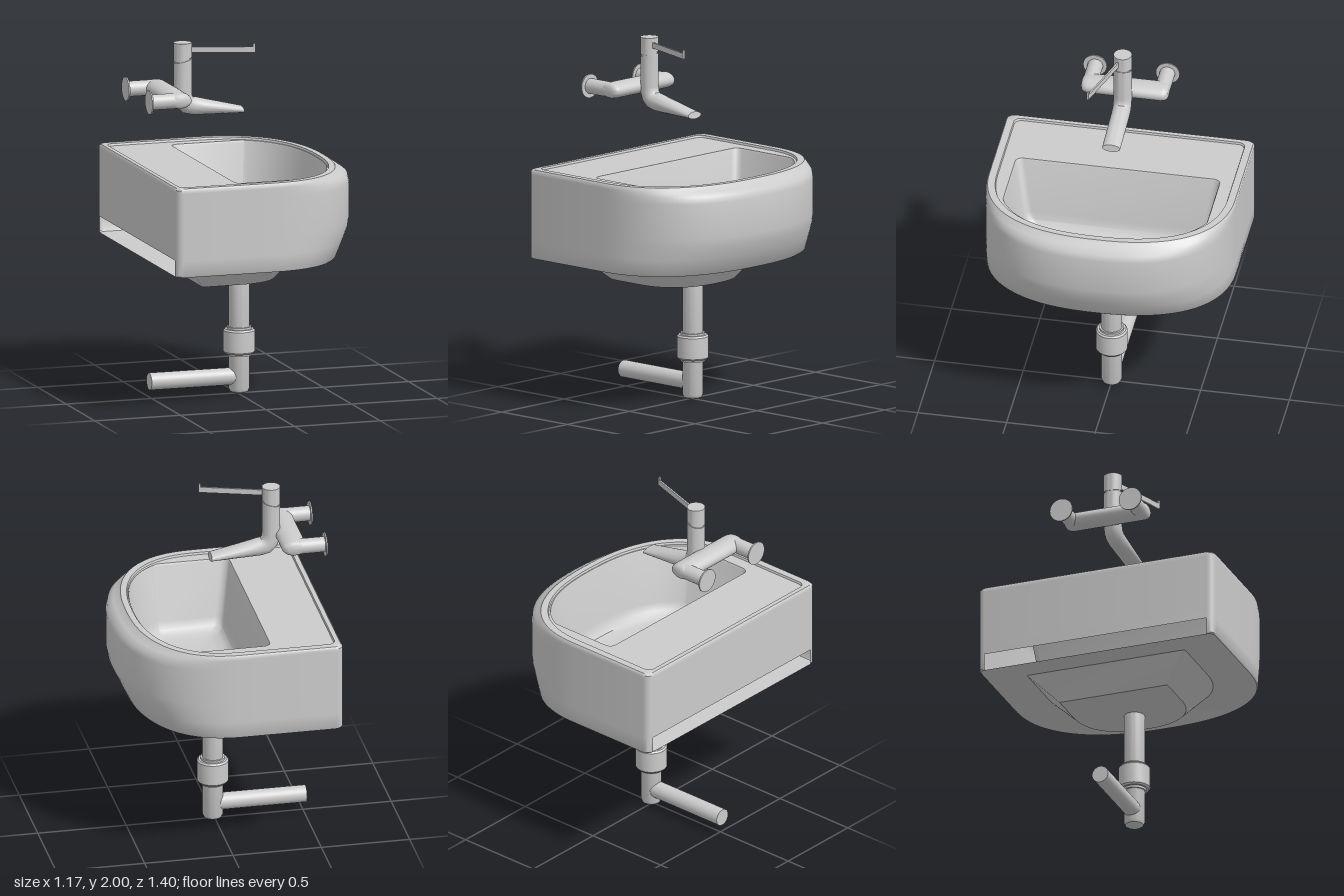
import * as THREE from 'three';
import { toCreasedNormals } from 'three/addons/utils/BufferGeometryUtils.js';

const material = new THREE.MeshStandardMaterial({ color: 0xcccccc });
const shellMaterial = new THREE.MeshStandardMaterial({ color: 0xcccccc, side: THREE.DoubleSide });

function add(parent, name, geometry, x = 0, y = 0, z = 0, mat = material) {
  const mesh = new THREE.Mesh(geometry, mat);
  mesh.name = name;
  mesh.position.set(x, y, z);
  parent.add(mesh);
  return mesh;
}

// D-shaped ring at height y: straight back with rounded corners, full superelliptical front
function dRing(y, back, front, half, { r = 0.04, zMax = half, cx = -0.03 } = {}) {
  const power = 2.4;
  const side = [];
  for (let i = 0; i <= 5; i++) {
    const a = (i / 5) * Math.PI / 2;
    side.push([back + r - r * Math.cos(a), zMax - r + r * Math.sin(a)]);
  }
  const start = Math.asin((zMax / half) ** (power / 2));
  const steps = 32;
  for (let i = 0; i < steps; i++) {
    const t = start * (1 - i / steps);
    const c = Math.max(0, Math.cos(t));
    side.push([cx + (front - cx) * c ** (2 / power), half * Math.sin(t) ** (2 / power)]);
  }
  const ring = side.map(([x, z]) => new THREE.Vector3(x, y, -z));
  ring.push(new THREE.Vector3(front, y, 0));
  side.reverse().forEach(([x, z]) => ring.push(new THREE.Vector3(x, y, z)));
  return ring;
}

// Skin through closed rings, with optional end caps and skipped quads
function loft(rings, { capStart = false, capEnd = false, skip = () => false, crease = 0.6 } = {}) {
  const pts = [];
  const n = rings[0].length;
  for (let i = 0; i < rings.length - 1; i++) {
    for (let j = 0; j < n; j++) {
      if (skip(i, j, n)) continue;
      const k = (j + 1) % n;
      const a = rings[i][j], b = rings[i][k], c = rings[i + 1][j], d = rings[i + 1][k];
      pts.push(a, c, b, b, c, d);
    }
  }
  const cap = (ring, flip) => {
    const mid = ring.reduce((s, p) => s.add(p), new THREE.Vector3()).divideScalar(n);
    ring.forEach((p, j) => {
      const q = ring[(j + 1) % n];
      if (flip) pts.push(mid, p, q);
      else pts.push(mid, q, p);
    });
  };
  if (capStart) cap(rings[0], true);
  if (capEnd) cap(rings[rings.length - 1], false);
  return toCreasedNormals(new THREE.BufferGeometry().setFromPoints(pts), crease);
}

// Turned part from [radius, height] pairs
function turned(profile) {
  const points = profile.map(([r, y]) => new THREE.Vector2(r, y));
  return toCreasedNormals(new THREE.LatheGeometry(points, 36).toNonIndexed(), 0.6);
}

// Upright cylinder whose top and/or bottom is cut on a slant
function slantedCylinder(radius, y0, y1, slope0, slope1) {
  const g = new THREE.CylinderGeometry(radius, radius, 1, 36);
  const p = g.attributes.position;
  for (let i = 0; i < p.count; i++) {
    const x = p.getX(i);
    p.setY(i, p.getY(i) > 0 ? y1 + slope1 * x : y0 + slope0 * x);
  }
  return toCreasedNormals(g.toNonIndexed(), 0.6);
}

function createBasin() {
  const basin = new THREE.Group();
  basin.name = 'basin';

  // Outer shell and raised rim, with a slot low in the back wall
  add(basin, 'outerShell', loft([
    dRing(0.815, -0.58, 0.497, 0.695),
    dRing(0.822, -0.585, 0.505, 0.7),
    dRing(0.91, -0.585, 0.547, 0.7),
    dRing(0.98, -0.585, 0.578, 0.7),
    dRing(1.03, -0.585, 0.586, 0.7),
    dRing(1.23, -0.585, 0.586, 0.7),
    dRing(1.268, -0.585, 0.576, 0.7),
    dRing(1.289, -0.585, 0.543, 0.7),
    dRing(1.307, -0.585, 0.508, 0.7),
    dRing(1.317, -0.577, 0.5, 0.692),
    dRing(1.317, -0.551, 0.466, 0.651),
    dRing(1.305, -0.547, 0.462, 0.647),
  ], { capStart: true, crease: 0.75, skip: (i, j, n) => i < 2 && j === n - 1 }), 0, 0, 0, shellMaterial);

  // Flat deck running into the bowl
  add(basin, 'deckAndBowl', loft([
    dRing(1.305, -0.547, 0.462, 0.647),
    dRing(1.305, -0.2, 0.457, 0.64, { zMax: 0.577 }),
    dRing(1.295, -0.195, 0.453, 0.634, { zMax: 0.572 }),
    dRing(0.98, -0.155, 0.42, 0.575, { zMax: 0.52 }),
    dRing(0.935, -0.142, 0.407, 0.555, { zMax: 0.5 }),
    dRing(0.91, -0.115, 0.385, 0.525, { zMax: 0.47 }),
    dRing(0.9, -0.06, 0.345, 0.47, { zMax: 0.415 }),
  ], { capEnd: true }), 0, 0, 0, shellMaterial);
  add(basin, 'drainCover', new THREE.CylinderGeometry(0.065, 0.065, 0.02, 36), 0.01, 0.9, -0.01);
  add(basin, 'drainStud', new THREE.CylinderGeometry(0.01, 0.01, 0.02, 16), 0.045, 0.908, -0.01);

  // Tapered housing under the body
  add(basin, 'lowerHousing', loft([
    dRing(0.677, -0.31, 0.19, 0.32, { r: 0.01, cx: -0.1 }),
    dRing(0.816, -0.43, 0.31, 0.47, { r: 0.01, cx: -0.1 }),
  ], { capStart: true, crease: 0.45 }), 0, 0, 0, shellMaterial);
  return basin;
}

function createDrain() {
  const drain = new THREE.Group();
  drain.name = 'drain';
  // Down pipe with a rounded foot
  add(drain, 'downPipe', turned([[0, 0], [0.035, 0.003], [0.05, 0.012], [0.058, 0.03], [0.058, 0.69]]), 0.01);
  // Coupling nut with stepped ends
  add(drain, 'coupling', turned([
    [0.055, 0.215], [0.068, 0.215], [0.068, 0.227], [0.08, 0.227], [0.088, 0.237],
    [0.088, 0.355], [0.08, 0.365], [0.068, 0.365], [0.068, 0.377], [0.055, 0.377],
  ]), 0.01);
  const outlet = add(drain, 'outletPipe', new THREE.CylinderGeometry(0.048, 0.048, 0.525, 32), -0.2525, 0.097);
  outlet.rotation.z = Math.PI / 2;
  return drain;
}

function createTap() {
  const tap = new THREE.Group();
  tap.name = 'tap';

  // Wall flanges and arms
  for (const side of [-1, 1]) {
    const flange = add(tap, 'wallFlange', new THREE.CylinderGeometry(0.067, 0.067, 0.008, 36), -0.582, 1.715, side * 0.205);
    const arm = add(tap, 'wallArm', new THREE.CylinderGeometry(0.043, 0.043, 0.17, 32), -0.5, 1.715, side * 0.203);
    flange.rotation.z = arm.rotation.z = Math.PI / 2;
  }
  // Broad crossbar of oval section with rounded ends
  const end = [[0, 0.245], [0.04, 0.244], [0.055, 0.238], [0.065, 0.226], [0.07, 0.205]];
  const bar = turned([...end.map(([r, y]) => [r, -y]), ...end.reverse()]);
  bar.rotateX(Math.PI / 2);
  bar.scale(1, 0.045 / 0.07, 1);
  add(tap, 'crossbar', bar, -0.408, 1.715, 0);

  // Upright body and turning cap, parted by a slanted groove
  add(tap, 'tapBody', slantedCylinder(0.051, 1.715, 1.899, 0, 0.25), -0.32);
  add(tap, 'tapNeck', new THREE.CylinderGeometry(0.046, 0.046, 0.08, 32), -0.32, 1.9);
  add(tap, 'tapCap', slantedCylinder(0.051, 1.907, 2, 0.25, 0), -0.32);

  // Spout: bends forward and flattens; each section is x, y, tilt, half height
  const sections = [
    [-0.32, 1.72, 0, 0.051], [-0.317, 1.69, 0.2, 0.051], [-0.305, 1.663, 0.55, 0.053],
    [-0.285, 1.646, 0.95, 0.054], [-0.25, 1.638, 1.3, 0.051], [-0.21, 1.633, 1.45, 0.046],
    [0.025, 1.603, 1.75, 0.02],
  ];
  const rings = sections.map(([x, y, tilt, h]) => Array.from({ length: 32 }, (_, i) => {
    const a = (i / 32) * Math.PI * 2;
    const d = h * Math.cos(a);
    return new THREE.Vector3(x + d * Math.cos(tilt), y + d * Math.sin(tilt), -0.051 * Math.sin(a));
  }));
  add(tap, 'spout', loft(rings, { capEnd: true }), 0, 0, 0, shellMaterial);

  // Thin lever with an upturned tip
  const lever = new THREE.Group();
  lever.name = 'lever';
  lever.position.set(-0.32, 1.96, 0.004);
  lever.rotation.y = -0.308;
  add(lever, 'leverBar', new THREE.BoxGeometry(0.4, 0.032, 0.01), 0.2, 0, 0);
  add(lever, 'leverTip', new THREE.BoxGeometry(0.012, 0.05, 0.012), 0.396, 0.01, 0);
  tap.add(lever);
  return tap;
}

export function createModel() {
  const model = new THREE.Group();
  model.name = 'washbasin';
  model.add(createBasin(), createDrain(), createTap());
  return model;
}
